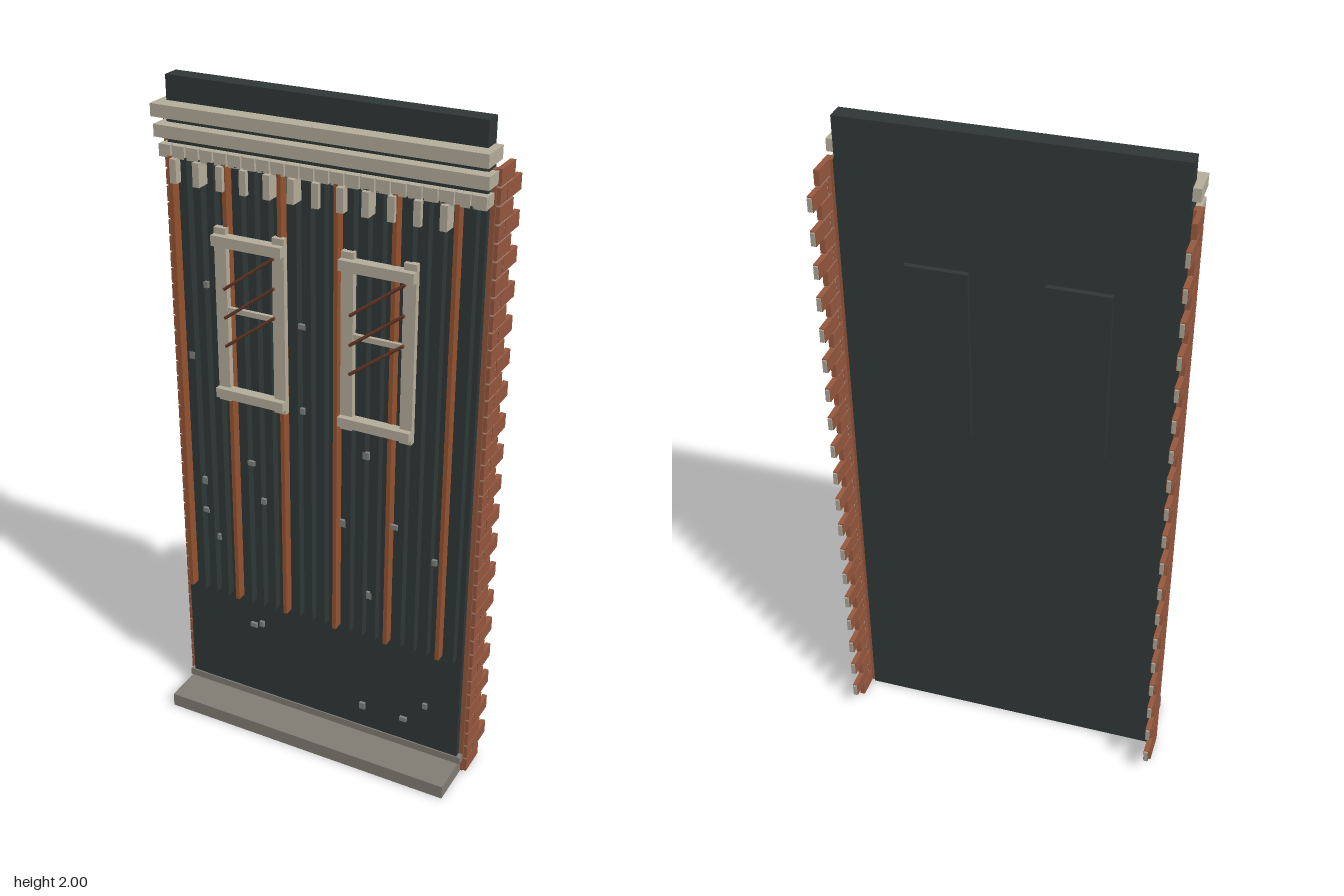
import * as THREE from 'three';

const mat = (name, color) => Object.assign(new THREE.MeshStandardMaterial({ color }), { name });

export function createModel() {
  const dark = mat('dark cladding', 0x2e3837);
  const cream = mat('cream trim', 0xb6ae9b);
  const stone = mat('grey stone', 0x817d74);
  const brick = mat('brick', 0x96583e);
  const rust = mat('rusty strip', 0x96532f);
  const rod = mat('rusty rod', 0x6e3b28);
  const mortar = mat('mortar', 0xaaa294);
  const chip = mat('bare chip', 0x7d817e);

  const model = new THREE.Group();
  model.name = 'facadePanel';

  // Box given by its limits on each axis
  const box = (name, m, x0, x1, y0, y1, z0, z1, parent = model) => {
    const mesh = new THREE.Mesh(new THREE.BoxGeometry(x1 - x0, y1 - y0, z1 - z0), m);
    mesh.position.set((x0 + x1) / 2, (y0 + y1) / 2, (z0 + z1) / 2);
    mesh.name = name;
    parent.add(mesh);
    return mesh;
  };
  const group = (name) => {
    const g = new THREE.Group();
    g.name = name;
    model.add(g);
    return g;
  };

  // Wall, parapet and step
  box('wall', dark, -0.46, 0.46, 0.002, 1.88, -0.024, 0.022);
  box('parapet', dark, -0.455, 0.455, 1.87, 2, -0.028, 0.024);
  box('step', stone, -0.467, 0.467, 0, 0.043, 0, 0.142);
  box('baseBoard', stone, -0.473, 0.473, 0.043, 0.066, 0, 0.026);

  // Cornice bands
  const cornice = group('cornice');
  box('topBand', cream, -0.477, 0.477, 1.897, 1.932, -0.02, 0.07, cornice);
  box('middleBand', cream, -0.477, 0.477, 1.84, 1.874, 0, 0.06, cornice);
  box('lowerBand', cream, -0.47, 0.47, 1.787, 1.818, 0, 0.042, cornice);

  // Dentils along the lower band and brackets under it
  for (let i = 0; i < 22; i++) {
    const x = -0.452 + i * 0.043;
    box('dentil', cream, x - 0.018, x + 0.018, 1.785, 1.82, 0.03, 0.05, cornice);
  }
  for (let i = 0; i < 12; i++) {
    const x = -0.42 + i * 0.0713;
    box('bracket', cream, x - 0.01, x + 0.01, 1.72, 1.787, 0.02, 0.064, cornice);
  }

  // Vertical battens, every fourth one rusty
  const battens = group('battens');
  for (let i = 0; i < 22; i++) {
    const x = -0.436 + i * 0.0415;
    const rusty = i % 4 === 0;
    const w = rusty ? 0.006 : 0.009;
    box(rusty ? 'rustyBatten' : 'batten', rusty ? rust : dark,
      x - w, x + w, 0.42, 1.79, 0.02, rusty ? 0.052 : 0.05, battens);
  }

  // Windows: frame, bar, diagonal rods and back panel
  for (const cx of [-0.192, 0.191]) {
    const win = group('window');
    win.position.x = cx;
    for (const s of [-1, 1]) {
      const a = s * 0.089;
      box('stile', cream, a - 0.018, a + 0.018, 1.105, 1.62, 0.046, 0.064, win);
    }
    box('sill', cream, -0.107, 0.107, 1.12, 1.148, 0.05, 0.082, win);
    box('head', cream, -0.107, 0.107, 1.572, 1.602, 0.05, 0.082, win);
    box('crossBar', cream, -0.072, 0.072, 1.377, 1.392, 0.05, 0.062, win);
    for (let i = 0; i < 3; i++) {
      const bar = new THREE.Mesh(new THREE.CylinderGeometry(0.005, 0.005, 0.195, 6), rod);
      bar.name = 'diagonalRod';
      bar.position.set(0, 1.335 + i * 0.085, 0.068);
      bar.rotation.z = -0.93;
      win.add(bar);
    }
    box('backPanel', dark, -0.088, 0.088, 1.1, 1.612, -0.04, -0.02, win);
  }

  // Toothed brick edges on both sides
  const pitch = 0.0482;
  for (const s of [-1, 1]) {
    const edge = group(s > 0 ? 'leftBrickEdge' : 'rightBrickEdge');
    const slab = (name, m, a, b, ...rest) =>
      box(name, m, Math.min(s * a, s * b), Math.max(s * a, s * b), ...rest, edge);
    slab('edgeBacking', brick, 0.455, 0.474, 0.003, 1.875, -0.02, 0.004);
    for (let i = 0; i < 39; i++) {
      const y0 = i * pitch + 0.003, y1 = y0 + 0.043;
      if (i % 2) {
        slab('brick', brick, 0.47, 0.485, y0, y1, -0.04, 0);
        slab('brick', brick, 0.47, 0.485, y0, y1, -0.141, -0.046);
        slab('mortar', mortar, 0.472, 0.483, y0 + 0.003, y1 - 0.003, -0.147, -0.004);
      } else {
        slab('brick', brick, 0.47, 0.485, y0, y1, -0.091, 0);
      }
    }
    slab('mortarCore', mortar, 0.473, 0.482, 0.01, 1.87, -0.085, -0.003);
  }

  // Chipped spots scattered on the front
  const chips = group('chips');
  const spots = [
    [-0.34, 1.44], [-0.395, 1.215], [-0.04, 1.375], [-0.04, 1.12], [0.157, 1.03],
    [-0.21, 0.91], [-0.172, 0.792], [-0.37, 0.81], [-0.37, 0.708], [-0.328, 0.625],
    [0.087, 0.792], [0.248, 0.825], [0.373, 0.745], [0.174, 0.572], [-0.217, 0.338],
    [-0.188, 0.35], [0.157, 0.163], [0.293, 0.163], [0.362, 0.237],
  ];
  spots.forEach(([x, y], i) => {
    const w = 0.007 + (i % 3) * 0.002, h = 0.007 + ((i + 1) % 3) * 0.002;
    box('chip', chip, x - w, x + w, y - h, y + h, 0.042, 0.051, chips);
  });

  return model;
}
